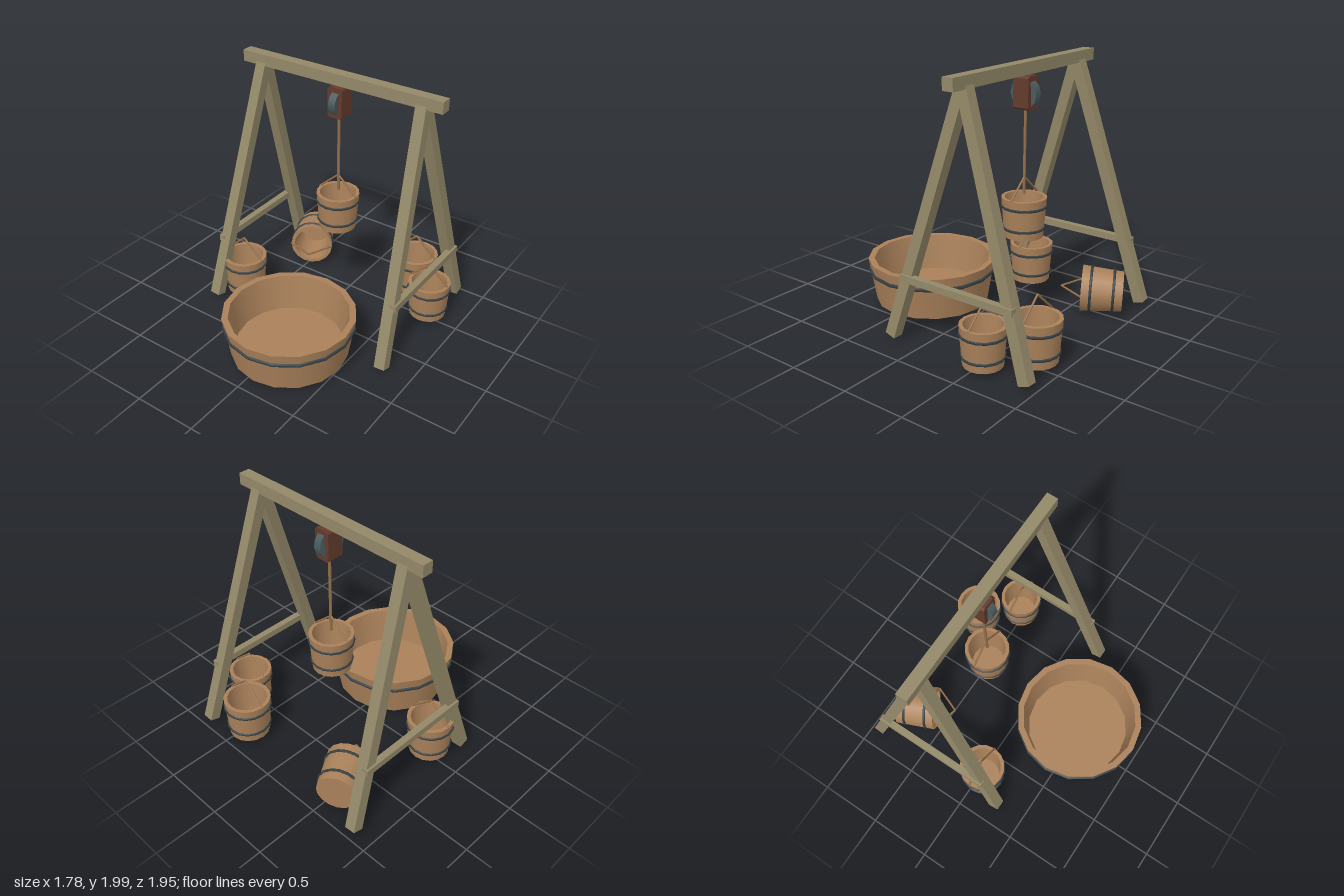
import * as THREE from 'three';
import { mergeGeometries } from 'three/addons/utils/BufferGeometryUtils.js';

const mat = (name, color) => {
  const m = new THREE.MeshStandardMaterial({ color });
  m.name = name;
  return m;
};
const V = (x, y, z) => new THREE.Vector3(x, y, z);
const UP = V(0, 1, 0);
const SIDES = 16;

export function createModel() {
  const timber = mat('weathered timber', 0x938868);
  const stave = mat('bucket wood', 0xaa815a);
  const cord = mat('rope and handle brown', 0x96704a);
  const iron = mat('dark iron', 0x333f43);
  const blockRed = mat('pulley red brown', 0x633a2b);
  const steel = mat('pulley wheel steel', 0x4a5c5e);

  const model = new THREE.Group();
  model.name = 'bucketHoist';

  const add = (parent, name, geo, material, x = 0, y = 0, z = 0) => {
    const m = new THREE.Mesh(geo, material);
    m.name = name;
    m.position.set(x, y, z);
    parent.add(m);
    return m;
  };
  // Stretch a unit-high geometry between two points
  const span = (parent, name, makeGeo, material, a, b) => {
    const d = b.clone().sub(a);
    const mid = a.clone().add(b).multiplyScalar(0.5);
    const m = add(parent, name, makeGeo(d.length()), material, mid.x, mid.y, mid.z);
    m.quaternion.setFromUnitVectors(UP, d.normalize());
    return m;
  };
  const rod = (r) => (len) => new THREE.CylinderGeometry(r, r, len, 6);

  // Open vessel: each wall is its own lathe, so the rims stay sharp
  const vessel = (parent, rBottom, rTop, h, wall, floor) => {
    const rFloor = rBottom + ((rTop - rBottom) * floor) / h - wall;
    const p = [[0, 0], [rBottom, 0], [rTop, h], [rTop - wall, h], [rFloor, floor], [0, floor]]
      .map(([x, y]) => new THREE.Vector2(x, y));
    const walls = [];
    for (let i = 0; i < p.length - 1; i++) walls.push(new THREE.LatheGeometry([p[i], p[i + 1]], SIDES));
    add(parent, 'staves', mergeGeometries(walls), stave);
  };
  const hoop = (parent, r, tube, y) => {
    const geo = new THREE.TorusGeometry(r, tube, 6, SIDES).rotateX(Math.PI / 2);
    add(parent, 'hoop', geo, iron, 0, y, 0);
  };

  // Bucket with two hoops and a peaked handle
  const bucket = (name, x, y, z, scale) => {
    const g = new THREE.Group();
    g.name = name;
    const rB = 0.146, rT = 0.169, h = 0.3;
    vessel(g, rB, rT, h, 0.027, 0.04);
    for (const t of [0.225, 0.775]) hoop(g, rB + (rT - rB) * t, 0.011, h * t);
    for (const s of [-1, 1]) span(g, 'handle', rod(0.008), cord, V(s * 0.168, h, 0), V(0, h + 0.15, 0));
    g.position.set(x, y, z);
    g.scale.setScalar(scale);
    model.add(g);
    return g;
  };

  // Trestle frame
  const axisZ = -0.337;
  add(model, 'topBeam', new THREE.BoxGeometry(1.715, 0.09, 0.088), timber, -0.0325, 1.955, axisZ);
  const post = (len) => new THREE.BoxGeometry(0.086, len, 0.086);
  for (const [xTop, xFoot, xBar] of [[-0.725, -0.835, -0.84], [0.657, 0.767, 0.774]]) {
    for (const s of [1, -1])
      span(model, s > 0 ? 'frontLeg' : 'backLeg', post, timber,
        V(xFoot, 0.045, axisZ + s * 0.59), V(xTop, 1.93, axisZ));
    add(model, 'crossBar', new THREE.BoxGeometry(0.052, 0.052, 0.97), timber, xBar, 0.527, axisZ);
  }

  // Pulley block with clipped corners
  const w = 0.062, h = 0.12, c = 0.015;
  const outline = new THREE.Shape([
    [-w + c, -h], [w - c, -h], [w, -h + c], [w, h - c],
    [w - c, h], [-w + c, h], [-w, h - c], [-w, -h + c],
  ].map(([x, y]) => new THREE.Vector2(x, y)));
  const blockGeo = new THREE.ExtrudeGeometry(outline, { depth: 0.128, bevelEnabled: false }).translate(0, 0, -0.064);
  add(model, 'pulleyBlock', blockGeo, blockRed, -0.033, 1.78, axisZ);
  const wheel = add(model, 'pulleyWheel',
    new THREE.CylinderGeometry(0.11, 0.11, 0.058, 12).rotateZ(Math.PI / 2), steel, -0.033, 1.775, axisZ);
  wheel.rotation.z = -0.06;

  // Hanging rope
  span(model, 'rope', rod(0.0115), cord, V(-0.031, 1.03, axisZ), V(-0.035, 1.68, axisZ));

  // Large tub
  const tub = new THREE.Group();
  tub.name = 'tub';
  tub.position.set(0.076, 0.045, 0.465);
  vessel(tub, 0.45, 0.507, 0.345, 0.048, 0.06);
  hoop(tub, 0.494, 0.015, 0.255);
  model.add(tub);

  // Buckets: one hung, three standing, one tipped over
  bucket('hangingBucket', -0.034, 0.71, axisZ, 1);
  bucket('rightFrontBucket', -0.7, 0.045, 0.037, 1.06);
  bucket('leftBucket', 0.72, 0.045, -0.535, 1);
  bucket('leftBackBucket', 0.452, 0.045, -0.79, 1.08);
  const tipped = bucket('tippedBucket', -0.617, 0.188, -0.878, 1.06);
  tipped.rotation.set(Math.PI / 2 - 0.03, Math.atan2(0.143, 0.282), 0, 'YXZ');

  return model;
}
